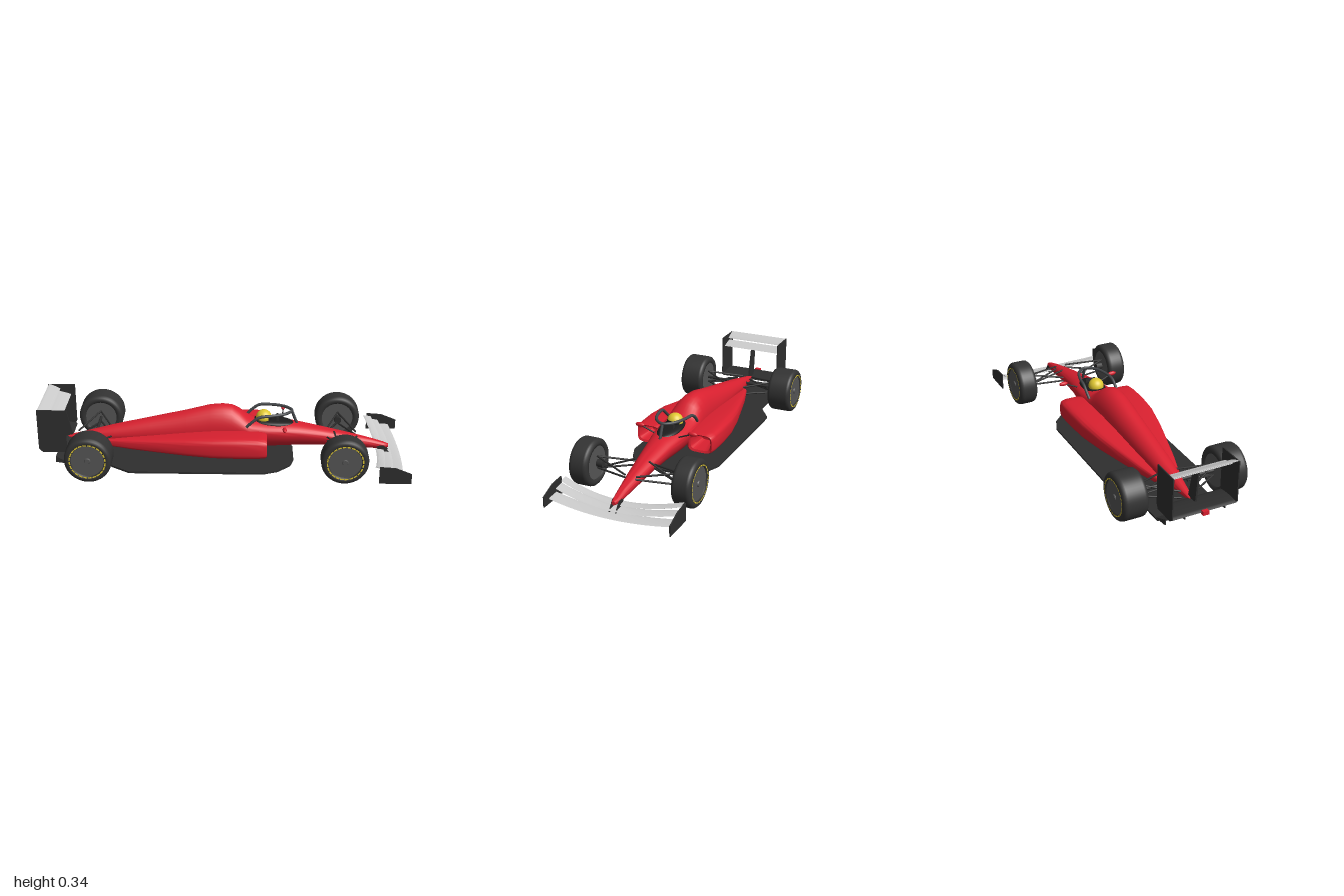
import * as THREE from 'three';
import { toCreasedNormals, mergeGeometries } from 'three/addons/utils/BufferGeometryUtils.js';

const mat = (name, color, side = THREE.FrontSide) =>
  Object.assign(new THREE.MeshStandardMaterial({ color, side }), { name });

export function createModel() {
  const red = mat('body red', 0xd9202f), carbon = mat('carbon', 0x2e2e2e), tyre = mat('tyre rubber', 0x333333),
    rim = mat('rim grey', 0x555555), yellow = mat('yellow', 0xe0c832, THREE.DoubleSide),
    silver = mat('wing silver', 0xcdcdcd), haloGrey = mat('halo grey', 0x44474a), black = mat('cockpit black', 0x1c1c1c);
  const car = new THREE.Group();
  car.name = 'racingCar';

  const add = (name, geo, material, x = 0, y = 0, z = 0) => {
    const m = new THREE.Mesh(geo, material);
    m.name = name;
    m.position.set(x, y, z);
    car.add(m);
    return m;
  };

  // Skin between closed rings of [x, y, z], capped at both ends
  const loft = (rings, crease = 0.7) => {
    const n = rings[0].length, pos = rings.flat(2), idx = [];
    for (let i = 0; i < rings.length - 1; i++)
      for (let j = 0; j < n; j++) {
        const a = i * n + j, c = i * n + (j + 1) % n;
        idx.push(a, a + n, c, c, a + n, c + n);
      }
    [0, rings.length - 1].forEach((i, end) => {
      const mid = [0, 1, 2].map(k => rings[i].reduce((s, p) => s + p[k], 0) / n), m = pos.length / 3;
      pos.push(...mid);
      for (let j = 0; j < n; j++) {
        const a = i * n + j, c = i * n + (j + 1) % n;
        idx.push(m, ...(end ? [c, a] : [a, c]));
      }
    });
    const g = new THREE.BufferGeometry();
    g.setAttribute('position', new THREE.Float32BufferAttribute(pos, 3));
    g.setIndex(idx);
    return toCreasedNormals(g, crease);
  };

  // Rounded section across x; pTop and pBot set how square each half is
  const section = (x, zc, w, yc, up, down, pTop = 1, pBot = 1, n = 36) =>
    Array.from({ length: n }, (_, j) => {
      const a = j / n * Math.PI * 2, c = Math.cos(a), s = Math.sin(a), p = s >= 0 ? pTop : pBot;
      return [x, yc + Math.sign(s) * Math.abs(s) ** p * (s >= 0 ? up : down), zc + Math.sign(c) * Math.abs(c) ** p * w];
    });

  const rod = (name, a, b, r, material = carbon) => {
    const A = new THREE.Vector3(...a), B = new THREE.Vector3(...b), d = B.clone().sub(A);
    const m = add(name, new THREE.CylinderGeometry(r, r, d.length(), 10), material);
    m.position.copy(A).addScaledVector(d, 0.5);
    m.quaternion.setFromUnitVectors(new THREE.Vector3(0, 1, 0), d.normalize());
  };

  const outline = (pts, depth) => new THREE.ExtrudeGeometry(
    new THREE.Shape(pts.map(p => new THREE.Vector2(...p))), { depth, bevelEnabled: false });
  const plate = (name, pts, z, t = 0.006) => add(name, outline(pts, t), carbon, 0, 0, z - t / 2);

  // Main body: x, half width, bottom, widest height, top
  const profile = [
    [-0.86, 0.010, 0.095, 0.105, 0.118], [-0.75, 0.030, 0.085, 0.115, 0.145], [-0.6, 0.052, 0.076, 0.13, 0.183],
    [-0.4, 0.066, 0.072, 0.15, 0.228], [-0.2, 0.078, 0.07, 0.165, 0.273], [-0.07, 0.086, 0.068, 0.175, 0.307],
    [0, 0.089, 0.068, 0.178, 0.313], [0.05, 0.091, 0.068, 0.18, 0.307], [0.09, 0.093, 0.068, 0.181, 0.286],
    [0.13, 0.095, 0.068, 0.182, 0.25], [0.16, 0.096, 0.068, 0.182, 0.233], [0.25, 0.094, 0.069, 0.178, 0.226],
    [0.35, 0.083, 0.073, 0.17, 0.217], [0.42, 0.071, 0.076, 0.162, 0.205], [0.55, 0.056, 0.076, 0.143, 0.178],
    [0.7, 0.041, 0.067, 0.115, 0.145], [0.82, 0.027, 0.058, 0.09, 0.115], [0.89, 0.018, 0.057, 0.076, 0.094],
    [0.915, 0.010, 0.063, 0.073, 0.084]];
  add('body', loft(profile.map(([x, w, b, m, t]) => section(x, 0, w, m, t - m, m - b, 1, 1.15)), 1), red);

  // Sidepods with hollow inlets: x, centre z, half width, centre y, half height
  const pod = [[-0.64, 0.04, 0.022, 0.098, 0.018], [-0.5, 0.062, 0.045, 0.106, 0.03], [-0.35, 0.085, 0.062, 0.115, 0.04],
    [-0.2, 0.108, 0.078, 0.124, 0.05], [-0.05, 0.128, 0.088, 0.132, 0.058], [0.08, 0.138, 0.088, 0.136, 0.06],
    [0.19, 0.142, 0.085, 0.136, 0.058], [0.23, 0.148, 0.075, 0.136, 0.055], [0.24, 0.151, 0.067, 0.136, 0.05],
    [0.235, 0.152, 0.057, 0.138, 0.041], [0.13, 0.15, 0.036, 0.138, 0.024]];
  for (const s of [1, -1])
    add('sidepod', loft(pod.map(([x, z, w, y, h]) => section(x, s * z, w, y, h, h, 0.5, 0.5)), 0.8), red);

  // Floor and diffuser
  const half = [[0.39, 0.08], [0.37, 0.15], [0.3, 0.22], [0.22, 0.252], [-0.5, 0.252], [-0.61, 0.175], [-0.83, 0.172]];
  const floor = outline([...half, ...half.map(([x, z]) => [x, -z]).reverse()], 0.01);
  floor.rotateX(Math.PI / 2);
  add('floor', floor, carbon, 0, 0.022, 0);
  const ramp = outline([[-0.81, 0.014], [-0.81, 0.022], [-0.905, 0.066], [-0.905, 0.058]], 0.34);
  add('diffuser', ramp, carbon, 0, 0, -0.17);
  for (const z of [-0.168, -0.06, 0.06, 0.168])
    plate('diffuserFin', [[-0.81, 0.02], [-0.905, 0.064], [-0.905, 0.034], [-0.81, 0.022]], z);

  // Wing element swept along z, bowed back by kx and up by ky at its tips
  const wing = (name, material, xc, yc, chord, thick, tilt, span, kx = 0, ky = 0) => {
    const rings = Array.from({ length: 17 }, (_, i) => {
      const t = i / 8 - 1;
      return Array.from({ length: 16 }, (_, j) => {
        const a = j / 8 * Math.PI, dx = Math.cos(a) * chord / 2;
        return [xc + dx - kx * t * t, yc - Math.sin(a) * thick / 2 - dx * tilt + ky * t * t, t * span];
      });
    });
    add(name, loft(rings), material);
  };

  // Front wing
  wing('frontWingMain', silver, 0.945, 0.026, 0.075, 0.006, 0.06, 0.342, 0.026, 0.02);
  wing('frontWingMiddle', silver, 0.902, 0.041, 0.06, 0.006, 0.1, 0.336, 0.036, 0.034);
  wing('frontWingTop', silver, 0.868, 0.056, 0.045, 0.006, 0.12, 0.328, 0.036, 0.044);
  for (const s of [1, -1]) {
    plate('frontWingEndplate', [[0.83, 0.112], [0.915, 0.106], [1, 0.072], [1, 0.016], [0.83, 0.016]], s * 0.343);
    plate('noseStrut', [[0.84, 0.085], [0.89, 0.08], [0.93, 0.028], [0.87, 0.04]], s * 0.018);
  }

  // Rear wing
  wing('rearWingMain', silver, -0.9, 0.296, 0.075, 0.007, 0.26, 0.178);
  wing('rearWingFlap', silver, -0.953, 0.333, 0.064, 0.008, 0.42, 0.178);
  wing('rearBeamWing', carbon, -0.912, 0.108, 0.15, 0.022, 0.05, 0.178);
  for (const s of [1, -1])
    plate('rearWingEndplate', [[-0.99, 0.345], [-0.838, 0.345], [-0.838, 0.125], [-0.85, 0.1], [-0.97, 0.1], [-0.99, 0.12]], s * 0.18);
  plate('rearWingPylon', [[-0.87, 0.29], [-0.92, 0.3], [-0.9, 0.105], [-0.83, 0.105]], 0, 0.01);
  add('tailLight', new THREE.BoxGeometry(0.02, 0.022, 0.034), red, -0.99, 0.11, 0);

  // Wheels
  const wheel = (x, z, h, s) => {
    const R = 0.126;
    const p = [[0.086, -h + 0.012], [0.09, -h + 0.003], [0.105, -h], [0.117, -h + 0.004], [0.124, -h + 0.012], [R, -h + 0.022]];
    const prof = [...p, ...p.map(([r, y]) => [r, -y]).reverse()].map(q => new THREE.Vector2(...q));
    add('tyre', new THREE.LatheGeometry(prof, 56).rotateX(Math.PI / 2), tyre, x, 0.128, z);
    add('rim', new THREE.CylinderGeometry(0.089, 0.089, 2 * h - 0.016, 40).rotateX(Math.PI / 2), rim, x, 0.128, z);
    add('wheelNut', new THREE.CylinderGeometry(0.014, 0.018, 0.008, 16).rotateX(s * Math.PI / 2), rim, x, 0.128, z + s * (h - 0.006));
    const dashes = Array.from({ length: 24 }, (_, i) =>
      new THREE.RingGeometry(0.091, 0.098, 3, 1, i * Math.PI / 12, Math.PI / 12 * 0.8));
    add('tyreStripe', mergeGeometries(dashes), yellow, x, 0.128, z + s * (h + 0.001));
  };
  for (const s of [1, -1]) {
    wheel(-0.705, s * 0.282, 0.069, s);
    wheel(0.65, s * 0.285, 0.053, s);

    // Suspension
    for (const [x, dx] of [[0.65, 0.085], [-0.705, 0.1]]) {
      const front = x > 0, hub = s * (front ? 0.235 : 0.218);
      for (const d of [-dx, dx]) {
        rod('upperWishbone', [x + d, front ? 0.14 : 0.13, s * 0.03], [x, 0.165, hub], 0.005);
        rod('lowerWishbone', [x + d, front ? 0.125 : 0.09, s * 0.025], [x, 0.1, hub], 0.005);
      }
      rod('pushrod', [x - 0.04, front ? 0.172 : 0.14, s * 0.04], [x, 0.1, hub], 0.005);
      rod('axle', [x, 0.128, s * (front ? 0.2 : 0.03)], [x, 0.128, hub], front ? 0.02 : 0.008);
    }

    // Mirrors
    rod('mirrorStalk', [0.33, 0.196, s * 0.07], [0.335, 0.226, s * 0.14], 0.004);
    add('mirror', new THREE.SphereGeometry(1, 20, 14), red, 0.335, 0.231, s * 0.153).scale.set(0.011, 0.012, 0.026);
  }

  // Cockpit and driver
  const tub = add('cockpitOpening', new THREE.SphereGeometry(1, 32, 16), black, 0.27, 0.214, 0);
  tub.scale.set(0.122, 0.019, 0.062);
  tub.rotation.z = -0.07;
  add('helmet', new THREE.SphereGeometry(0.043, 32, 24), yellow, 0.225, 0.238, 0);
  add('visor', new THREE.SphereGeometry(0.0445, 24, 8, Math.PI - 1, 2, 1.3, 0.5), black, 0.225, 0.238, 0);
  add('steeringWheel', new THREE.BoxGeometry(0.012, 0.024, 0.06), carbon, 0.3, 0.236, 0);

  // Halo hoop and its front post
  const hoop = [[0.13, 0.215, 0.086], [0.16, 0.245, 0.089], [0.2, 0.273, 0.088], [0.27, 0.279, 0.079], [0.34, 0.28, 0.052]];
  const path = [...hoop, [0.378, 0.28, 0], ...hoop.map(([x, y, z]) => [x, y, -z]).reverse()].map(p => new THREE.Vector3(...p));
  add('halo', new THREE.TubeGeometry(new THREE.CatmullRomCurve3(path), 72, 0.008, 12), haloGrey);
  rod('haloPost', [0.376, 0.281, 0], [0.408, 0.2, 0], 0.008, haloGrey);

  return car;
}
